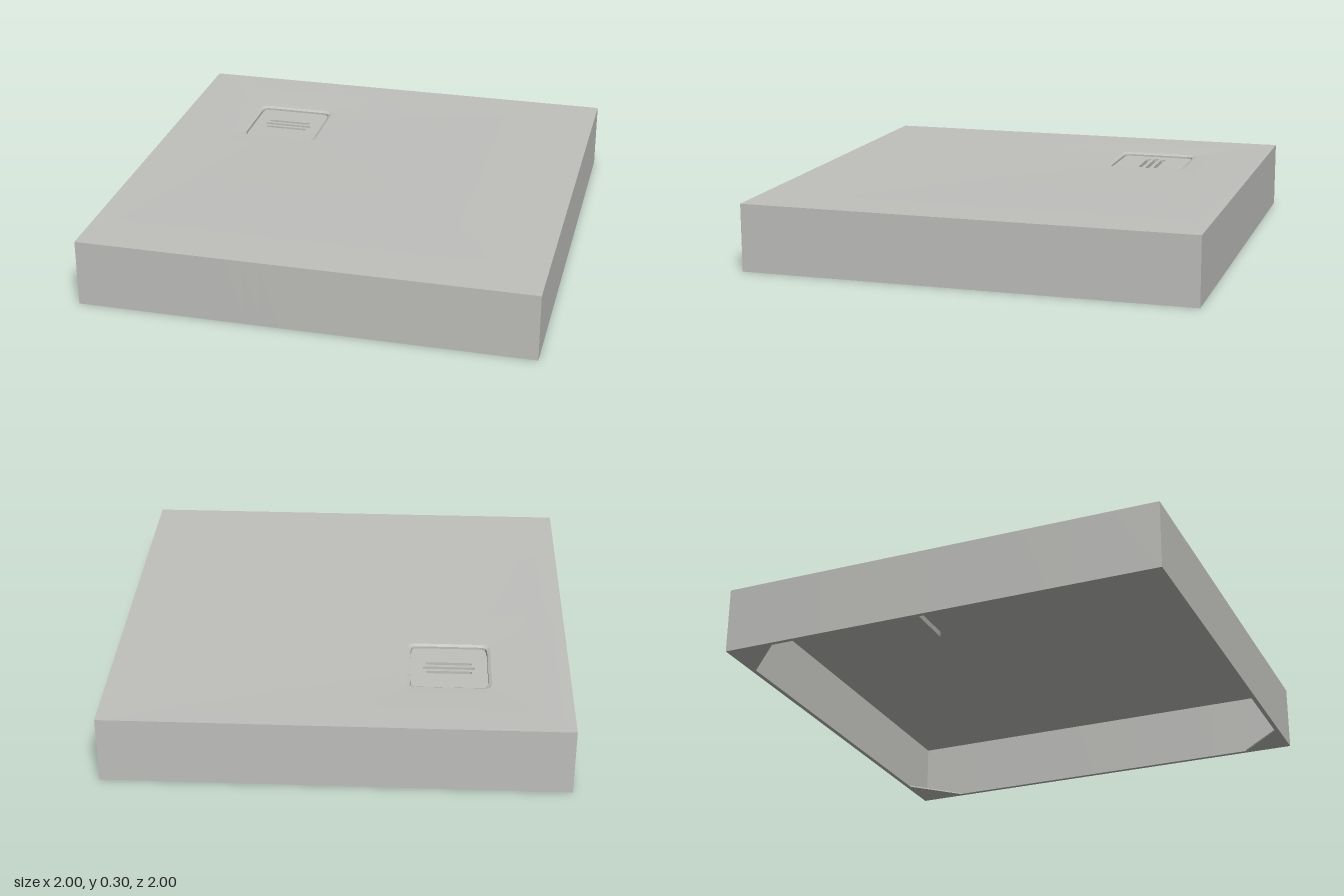
import * as THREE from 'three';
import { toCreasedNormals } from 'three/addons/utils/BufferGeometryUtils.js';

const DRAIN = -0.475;        // x and z of the drain centre
const SIDE = 1, INNER = 0.98; // half sizes of the tray and of its cavity
const HOLE = 0.184;          // half size of the drain opening
const TOP = 0.3, SKIN = 0.02, DISH = 0.01;

// Directions around the drain, including those that hit the tray corners
const angles = [];
for (let i = 0; i < 128; i++) angles.push(-Math.PI + (i / 128) * Math.PI * 2 + 0.0001);
for (const s of [SIDE, INNER])
  for (const x of [-s, s])
    for (const z of [-s, s])
      if (x !== z) angles.push(Math.atan2(z - DRAIN, x - DRAIN));
      else angles.push(Math.atan2(z - DRAIN, x - DRAIN) + (s === SIDE ? 0 : 1e-5));
angles.sort((a, b) => a - b);

// Distance from the drain centre to a rounded square around it
function roundedRadius(half, a) {
  const p = 14;
  return half / Math.pow(Math.abs(Math.cos(a)) ** p + Math.abs(Math.sin(a)) ** p, 1 / p);
}

// Distance from the drain centre to the sides of the tray
function squareRadius(half, a) {
  const c = Math.cos(a), s = Math.sin(a);
  const dx = (Math.sign(c) * half - DRAIN) / c;
  const dz = (Math.sign(s) * half - DRAIN) / s;
  return Math.min(dx, dz);
}

// Rings are [radius function, height]
const drainRing = (half, y) => [a => roundedRadius(half, a), y];
const sideRing = (half, y) => [a => squareRadius(half, a), y];

// Gently dished rings from the drain opening to the sides
function dishRings(half, edgeY) {
  const rings = [];
  for (let i = 0; i <= 14; i++) {
    const t = (i / 14) ** 1.6;
    rings.push([
      a => THREE.MathUtils.lerp(roundedRadius(HOLE, a), squareRadius(half, a), t),
      edgeY - DISH * (1 - t) ** 2,
    ]);
  }
  return rings;
}

// Skin a list of rings
function loft(rings) {
  const pts = rings.map(([radius, y]) => angles.map(a => {
    const r = radius(a);
    return new THREE.Vector3(DRAIN + r * Math.cos(a), y, DRAIN + r * Math.sin(a));
  }));
  const pos = [];
  const tri = (a, b, c) => {
    if (a.equals(b) || b.equals(c) || a.equals(c)) return;
    for (const v of [a, b, c]) pos.push(v.x, v.y, v.z);
  };
  for (let i = 0; i < rings.length - 1; i++) {
    for (let j = 0; j < angles.length; j++) {
      const k = (j + 1) % angles.length;
      tri(pts[i][j], pts[i][k], pts[i + 1][j]);
      tri(pts[i][k], pts[i + 1][k], pts[i + 1][j]);
    }
  }
  const g = new THREE.BufferGeometry();
  g.setAttribute('position', new THREE.Float32BufferAttribute(pos, 3));
  return toCreasedNormals(g, 0.5);
}

// Extrude a plan shape upwards from y = 0
function slab(shape, depth) {
  return new THREE.ExtrudeGeometry(shape, { depth, bevelEnabled: false, curveSegments: 8 })
    .rotateX(-Math.PI / 2);
}

export function createModel() {
  const model = new THREE.Group();
  const grey = new THREE.MeshStandardMaterial({ color: 0xbfbfbc });
  grey.name = 'stone grey';
  const add = (name, geometry, parent = model) => {
    const mesh = new THREE.Mesh(geometry, grey);
    mesh.name = name;
    parent.add(mesh);
    return mesh;
  };

  // Standing surface, falling slightly to the drain
  add('deck', loft(dishRings(SIDE, TOP)));

  // Outer sides, bottom rim and inner sides
  add('skirt', loft([
    sideRing(SIDE, TOP), sideRing(SIDE, 0), sideRing(INNER, 0), sideRing(INNER, TOP - SKIN),
  ]));

  // Ceiling of the hollow underside
  add('underside', loft(dishRings(INNER, TOP - SKIN).reverse()));

  // Drain recess with a bevelled lip, and its box below the deck
  add('drainRecess', loft([
    drainRing(0, 0.258), drainRing(0.171, 0.258), drainRing(0.171, 0.283),
    drainRing(HOLE, TOP - DISH),
  ]));
  add('drainBox', loft([
    drainRing(HOLE, TOP - SKIN - DISH), drainRing(HOLE - 0.004, 0.248), drainRing(0, 0.248),
  ]));

  // Drain cover with three rounded slots
  const plate = new THREE.Shape();
  for (let i = 0; i < 128; i++) {
    const a = (i / 128) * Math.PI * 2, r = roundedRadius(0.166, a);
    plate[i ? 'lineTo' : 'moveTo'](r * Math.cos(a), r * Math.sin(a));
  }
  plate.closePath();
  for (const [y, length] of [[-0.036, 0.2], [0, 0.226], [0.036, 0.2]]) {
    const r = 0.01, h = length / 2 - r;
    const slot = new THREE.Path();
    slot.absarc(h, y, r, -Math.PI / 2, Math.PI / 2, false);
    slot.absarc(-h, y, r, Math.PI / 2, Math.PI * 1.5, false);
    slot.closePath();
    plate.holes.push(slot);
  }
  add('drainCover', slab(plate, 0.018)).position.set(DRAIN, 0.258, DRAIN);

  // Flat gussets bracing the four bottom corners
  const leg = 0.2;
  const corner = new THREE.Shape([
    new THREE.Vector2(INNER, INNER),
    new THREE.Vector2(INNER - leg, INNER),
    new THREE.Vector2(INNER, INNER - leg),
  ]);
  const gussets = new THREE.Group();
  gussets.name = 'cornerGussets';
  for (let i = 0; i < 4; i++)
    add('cornerGusset', slab(corner, 0.006), gussets).rotation.y = (i * Math.PI) / 2;
  model.add(gussets);

  return model;
}
